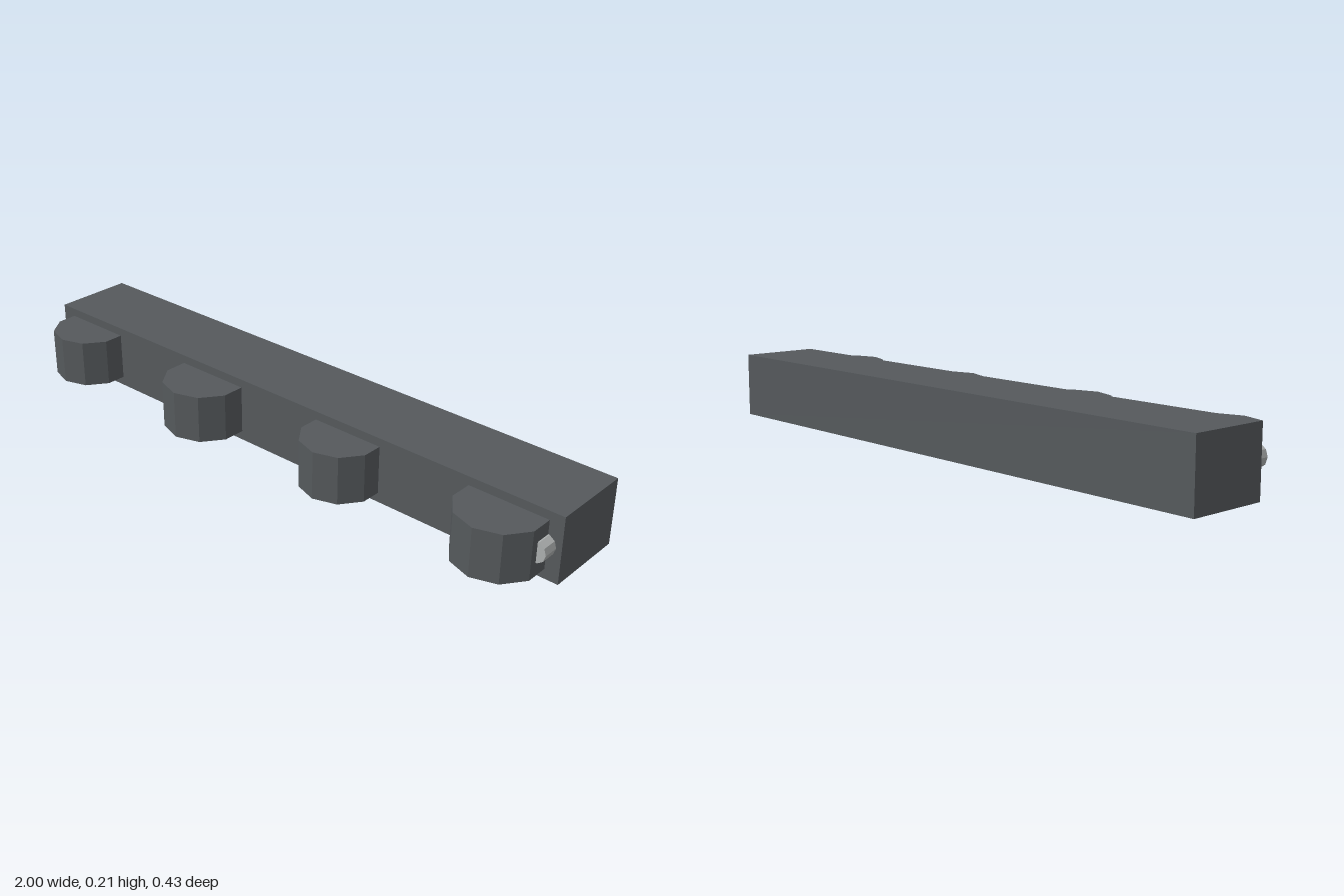
import * as THREE from 'three';

export function createModel() {
  const group = new THREE.Group();
  const darkGrey = new THREE.MeshStandardMaterial({ color: 0x55595c });
  darkGrey.name = 'darkGrey';
  const lightMetal = new THREE.MeshStandardMaterial({ color: 0xabaeae });
  lightMetal.name = 'lightMetal';
  for (const m of [darkGrey, lightMetal]) m.flatShading = true;

  const add = (name, geometry, material, x, y, z) => {
    const mesh = new THREE.Mesh(geometry, material);
    mesh.name = name;
    mesh.position.set(x, y, z);
    group.add(mesh);
    return mesh;
  };

  // Long rectangular bar
  add('bar', new THREE.BoxGeometry(2, 0.21, 0.261), darkGrey, 0, 0.105, -0.0825);

  // Ten-sided upright drums, half sunk into the front face, in two sizes
  const drums = [[-0.83, 0.126, 0.073], [-0.278, 0.134, 0.079], [0.274, 0.126, 0.073], [0.828, 0.134, 0.079]];
  for (const [x, radius, z] of drums) {
    add('drum', new THREE.CylinderGeometry(radius, radius, 0.153, 10), darkGrey, x, 0.1065, z);
  }

  // Small metal studs peeking out beside the outer drums
  for (const side of [-1, 1]) {
    const stud = new THREE.CylinderGeometry(0.034, 0.034, 0.06, 10);
    stud.rotateY(Math.PI / 2).rotateX(Math.PI / 2);
    add('endStud', stud, lightMetal, side * 0.949, 0.107, 0.067);
  }

  return group;
}
